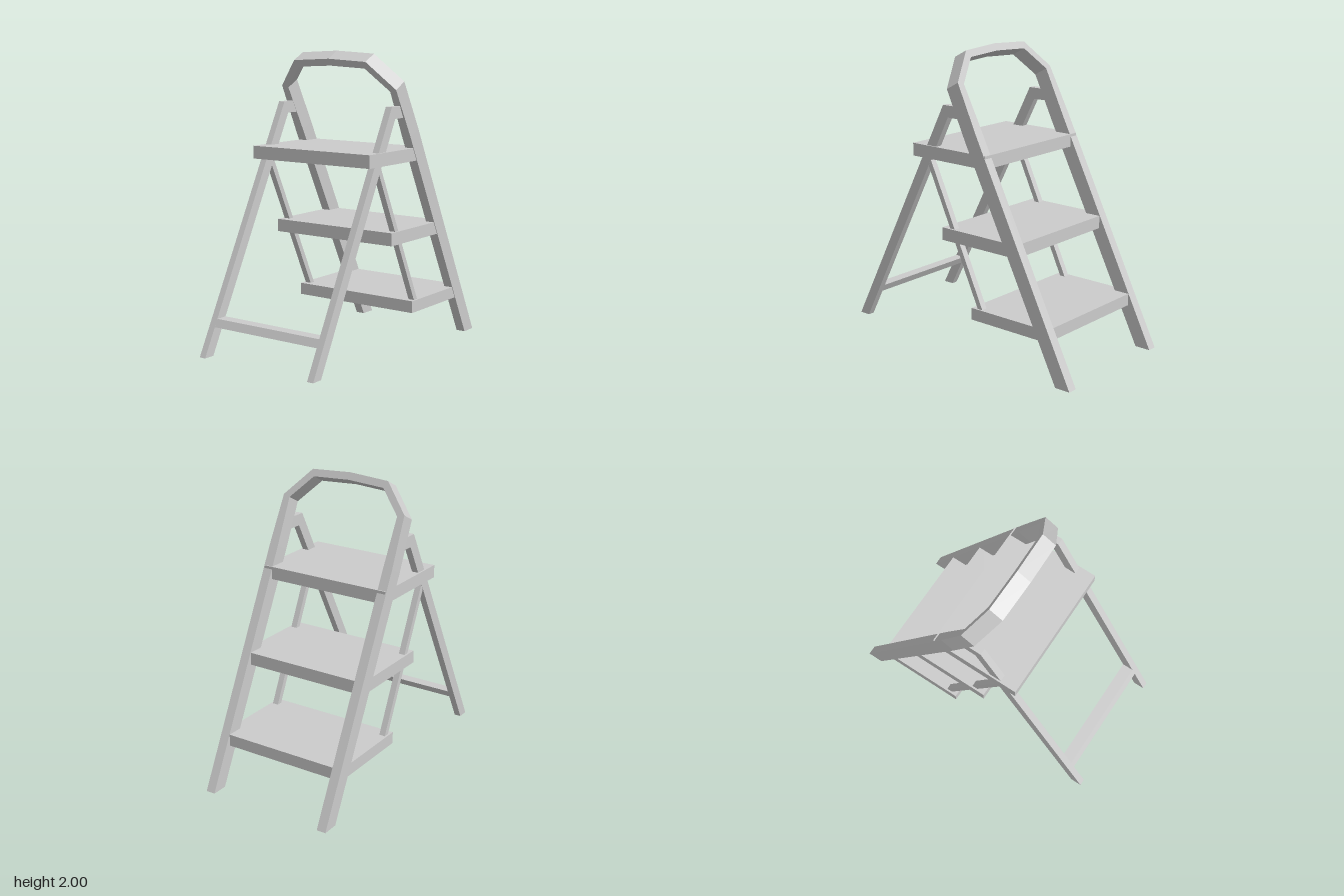
import * as THREE from 'three';

const material = new THREE.MeshStandardMaterial({ color: 0xcccccc, flatShading: true });

function addMesh(parent, name, geometry) {
  const mesh = new THREE.Mesh(geometry, material);
  mesh.name = name;
  parent.add(mesh);
  return mesh;
}

// Side profile of [z, y] points, extruded across from x0 to x1
function prism(points, x0, x1) {
  const shape = new THREE.Shape(points.map(([z, y]) => new THREE.Vector2(z, y)));
  return new THREE.ExtrudeGeometry(shape, { depth: x1 - x0, bevelEnabled: false })
    .rotateY(-Math.PI / 2)
    .translate(x1, 0, 0);
}

// Both rails and the top handle as one bent bar, leaned forward
function railGeometry() {
  const outer = [[0.472, 0], [0.472, 1.5], [0.462, 1.81], [0.287, 1.985], [0, 2]];
  const inner = [[0, 1.955], [0.265, 1.942], [0.413, 1.797], [0.407, 1.5], [0.407, 0]];
  const mirror = (pts) => pts.slice().reverse().map(([x, y]) => [-x, y]);
  const outline = [
    ...outer, ...mirror(outer).slice(1),
    ...mirror(inner).slice(0, -1), ...inner,
  ];
  const shape = new THREE.Shape(outline.map(([x, y]) => new THREE.Vector2(x, y)));
  const geometry = new THREE.ExtrudeGeometry(shape, { depth: 1, bevelEnabled: false });
  const p = geometry.attributes.position;
  for (let i = 0; i < p.count; i++) {
    const front = p.getZ(i) > 0.5;
    // feet stay level, the upper part is cut square to the lean
    const y = p.getY(i) - (front && p.getY(i) > 0.5 ? 0.05 : 0);
    p.setY(i, y);
    p.setZ(i, front ? -0.82 + 0.506 * y : -0.93 + 0.501 * y);
  }
  geometry.computeVertexNormals();
  return geometry;
}

export function createModel() {
  const model = new THREE.Group();
  model.name = 'stepLadder';

  addMesh(model, 'railsAndHandle', railGeometry());

  // Treads: bottom, top, back and front
  const treads = [
    ['bottomStep', 0.275, 0.355, -0.75, -0.13],
    ['middleStep', 0.765, 0.85, -0.5, 0.12],
    ['topStep', 1.29, 1.375, -0.25, 0.37],
  ];
  for (const [name, y0, y1, z0, z1] of treads) {
    const tread = addMesh(model, name, new THREE.BoxGeometry(0.936, y1 - y0, z1 - z0));
    tread.position.set(0, (y0 + y1) / 2, (z0 + z1) / 2);
  }

  // Support legs with a hooked top, and thin struts linking the treads
  const leg = [[0.855, 0.065], [0.933, 0.065], [0.11, 1.655], [-0.04, 1.655], [-0.04, 1.578], [0.07, 1.578]];
  const strut = [[-0.212, 0.35], [-0.173, 0.35], [0.272, 1.295], [0.233, 1.295]];
  for (const [side, x0, x1] of [['left', 0.411, 0.457], ['right', -0.457, -0.411]]) {
    addMesh(model, side + 'SupportLeg', prism(leg, x0, x1));
    addMesh(model, side + 'Strut', prism(strut, x0 + 0.002, x1 - 0.002));
  }

  // Crossbar between the support legs
  const bar = [[0.76, 0.25], [0.837, 0.25], [0.811, 0.3], [0.733, 0.3]];
  addMesh(model, 'legCrossbar', prism(bar, -0.415, 0.415));

  return model;
}
